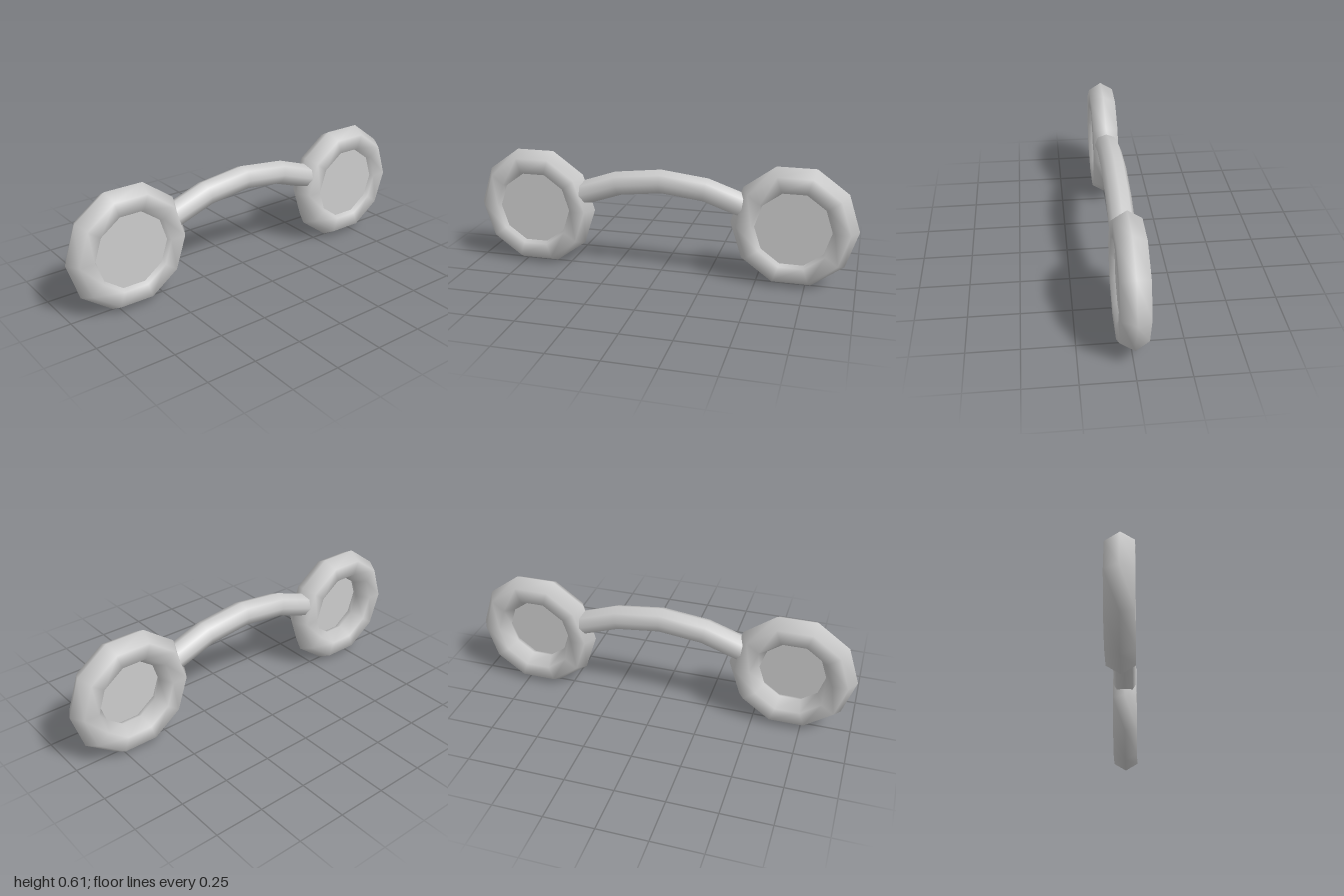
import * as THREE from 'three';

export function createModel() {
  const model = new THREE.Group();
  const grey = new THREE.MeshStandardMaterial({ color: 0xcccccc, side: THREE.DoubleSide });

  function add(parent, name, geometry, x = 0, y = 0, z = 0) {
    const mesh = new THREE.Mesh(geometry, grey);
    mesh.name = name;
    mesh.position.set(x, y, z);
    parent.add(mesh);
    return mesh;
  }

  // Ten-sided rims of six-sided tube, each with a thin lens set toward the front
  const rim = new THREE.TorusGeometry(0.243, 0.077, 6, 10);
  const lens = new THREE.CircleGeometry(0.205, 10);
  for (const [side, s] of [['left', 1], ['right', -1]]) {
    const eyepiece = new THREE.Group();
    eyepiece.name = side + 'Eyepiece';
    eyepiece.position.set(s * 0.68, 0.304, 0);
    add(eyepiece, side + 'Rim', rim);
    add(eyepiece, side + 'Lens', lens, 0, 0, 0.045);
    model.add(eyepiece);
  }

  // Arched bridge whose ends are buried in the rims
  const arch = new THREE.QuadraticBezierCurve3(
    new THREE.Vector3(-0.45, 0.385, 0),
    new THREE.Vector3(0, 0.59, 0),
    new THREE.Vector3(0.45, 0.385, 0)
  );
  add(model, 'bridge', new THREE.TubeGeometry(arch, 4, 0.063, 8, false));

  return model;
}
